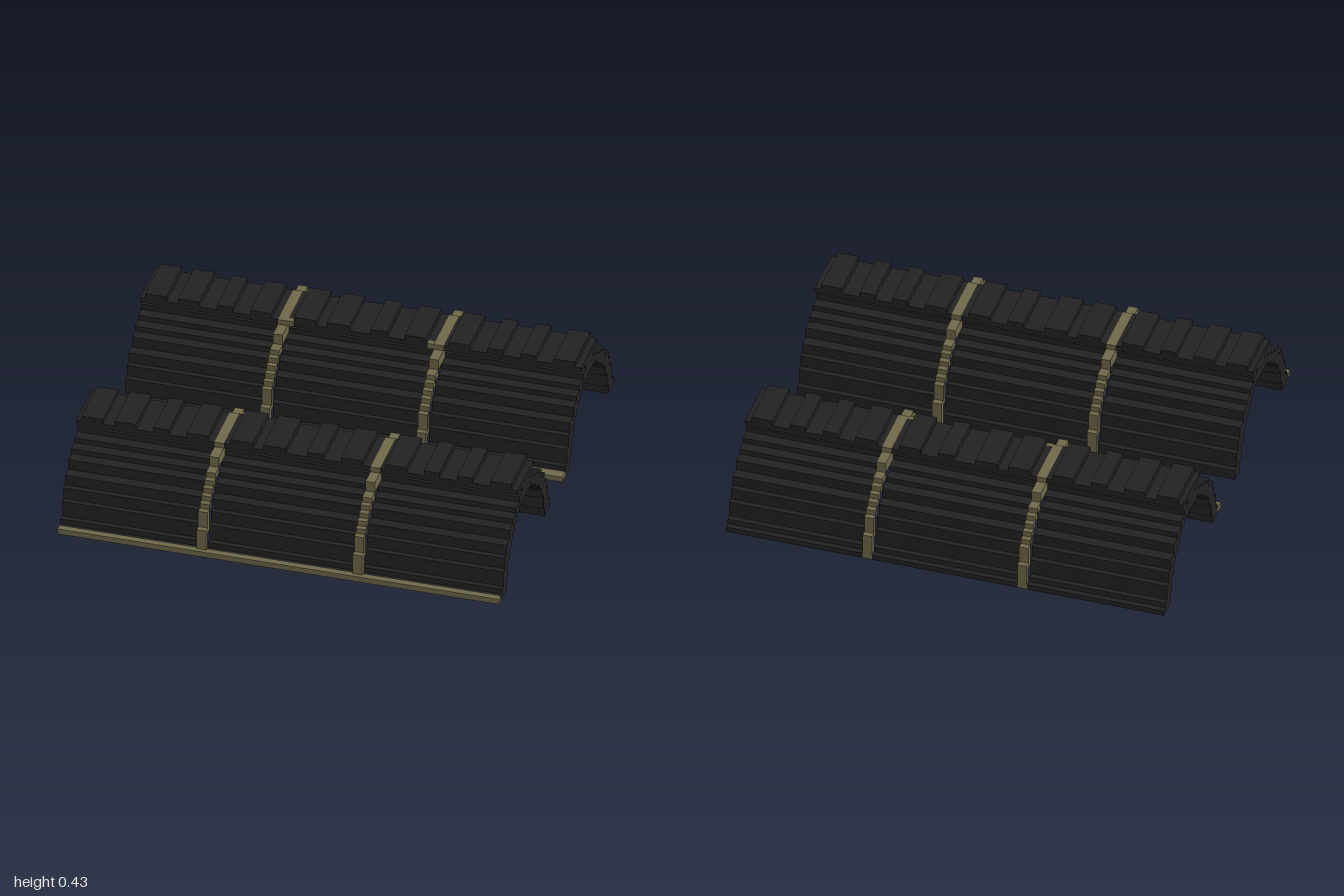
import * as THREE from 'three';

const black = new THREE.MeshStandardMaterial({ color: 0x222222 });
black.name = 'matte black';
const olive = new THREE.MeshStandardMaterial({ color: 0x6f694a });
olive.name = 'olive';

// Stair profiles for half an arch: [distance from arch centre, top of step]
const shellOuter = [[.375, .05], [.35, .125], [.325, .18], [.3, .23], [.25, .28], [.2, .305], [.15, .33], [.1, .357], [.05, .385]];
const shellInner = [[.3, .05], [.278, .125], [.25, .18], [.225, .205], [.2, .23], [.165, .255], [.135, .28], [.1, .305]];
const strapOuter = [[.4, .125], [.375, .205], [.35, .23], [.325, .255], [.3, .28], [.275, .305], [.25, .33], [.2, .38], [.122, .405]];
const strapInner = [[.375, .1], [.35, .2], [.325, .23], [.3, .25], [.275, .275], [.25, .3], [.2, .33], [.1, .355]];

// Full stepped outline from the +z foot over the top to the -z foot
function stairs(steps) {
  const half = [];
  let y = 0;
  for (const [u, top] of steps) {
    half.push([u, y], [u, top]);
    y = top;
  }
  return [...half, ...half.map(([u, v]) => [-u, v]).reverse()];
}

// Stepped arch running along x between x0 and x1
function arch(name, outer, inner, x0, x1, material) {
  const points = [...stairs(outer), ...stairs(inner).reverse()].map(p => new THREE.Vector2(...p));
  const geometry = new THREE.ExtrudeGeometry(new THREE.Shape(points), { depth: x1 - x0, bevelEnabled: false });
  geometry.translate(0, 0, -(x1 - x0) / 2).rotateY(-Math.PI / 2);
  const mesh = new THREE.Mesh(geometry, material);
  mesh.position.x = (x0 + x1) / 2;
  mesh.name = name;
  return mesh;
}

function block(name, [x0, x1], [y0, y1], [z0, z1], material) {
  const mesh = new THREE.Mesh(new THREE.BoxGeometry(x1 - x0, y1 - y0, z1 - z0), material);
  mesh.position.set((x0 + x1) / 2, (y0 + y1) / 2, (z0 + z1) / 2);
  mesh.name = name;
  return mesh;
}

const segments = [[-1, -.375], [-.332, .332], [.375, 1]];
const straps = [[-.375, -.332], [.332, .375]];
// Start and end of each raised tooth along the top rail
const teeth = [[-.976, -.88], [-.826, -.73], [-.65, -.58], [-.5, -.404], [-.302, -.2], [-.152, -.05],
  [.045, .12], [.2, .297], [.398, .495], [.575, .644], [.725, .794], [.874, .97]];

function coverHalf(name, z, isBack) {
  const half = new THREE.Group();
  half.name = name;
  half.position.z = z;

  // Shell and rail base, split where the straps pass
  for (const seg of segments) {
    half.add(arch('shell', shellOuter, shellInner, ...seg, black));
    half.add(block('railBase', seg, [.38, .405], [-.122, .122], black));
    if (isBack) {
      half.add(block('innerFootRail', seg, [0, .025], [.375, .422], olive));
      half.add(block('outerFootRail', seg, [0, .025], [-.4, -.375], black));
    }
  }

  // Straps over the arch
  for (const [x0, x1] of straps) half.add(arch('strap', strapOuter, strapInner, x0, x1, olive));

  // Teeth on the top rail
  for (const tooth of teeth) half.add(block('railTooth', tooth, [.405, .43], [-.122, .122], black));

  if (isBack) {
    // Small strap tabs beside the rail
    for (const s of [-1, 1]) {
      const x = [s * .332, s * .303].sort((a, b) => a - b);
      half.add(block('strapTab', x, [.381, .407], [.1, .124], olive));
    }
  } else {
    // Continuous front foot
    half.add(block('footLip', [-1, 1], [0, .025], [.37, .395], black));
    half.add(block('frontFootRail', [-1, 1], [0, .026], [.393, .42], olive));
  }
  return half;
}

export function createModel() {
  const model = new THREE.Group();
  model.name = 'railCovers';
  model.add(coverHalf('frontCover', .488, false), coverHalf('backCover', -.512, true));
  return model;
}
